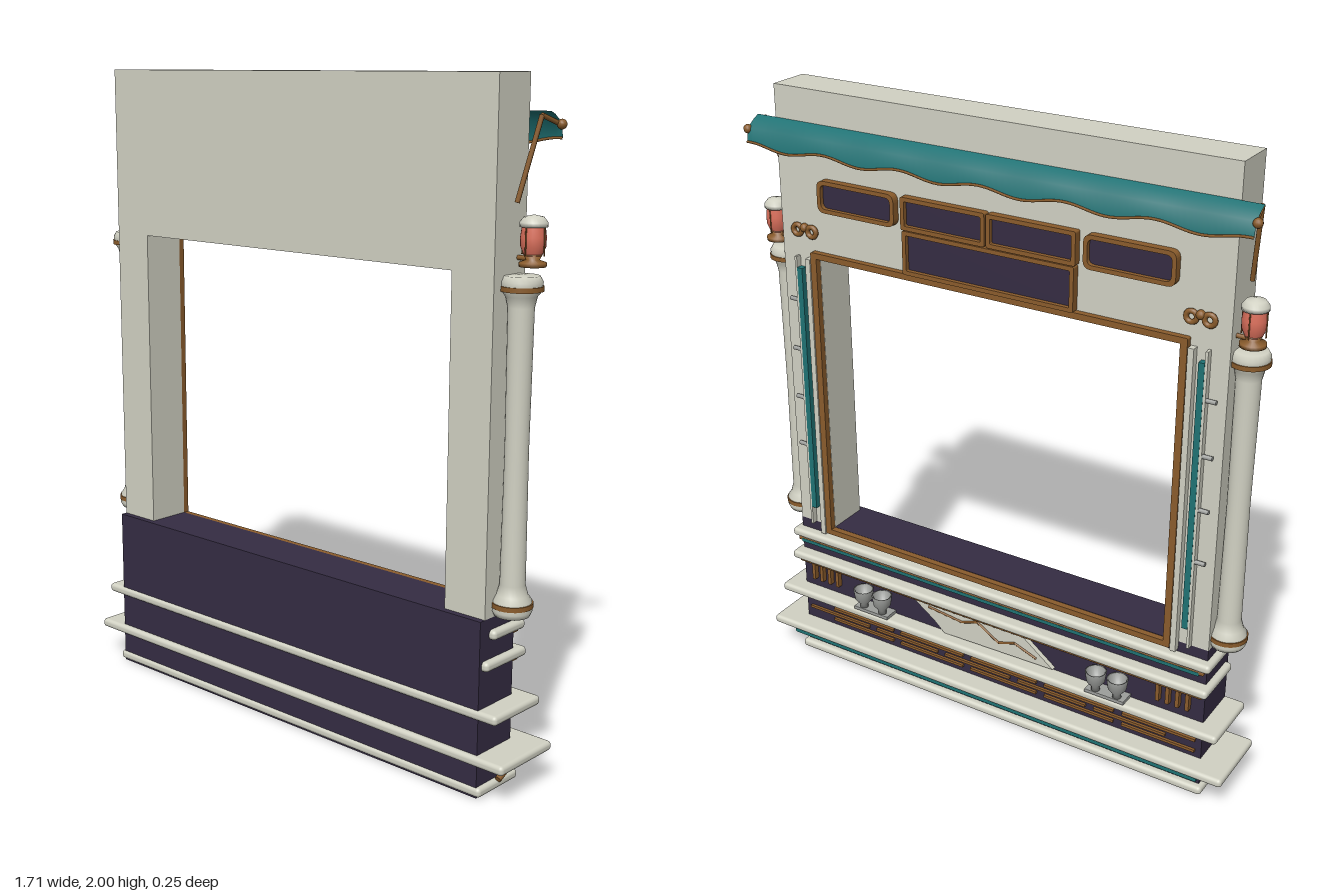
import * as THREE from 'three';
import { RoundedBoxGeometry } from 'three/addons/geometries/RoundedBoxGeometry.js';

const mat = (name, color, side = THREE.FrontSide) => {
  const m = new THREE.MeshStandardMaterial({ color, side });
  m.name = name;
  return m;
};

export function createModel() {
  const cream = mat('cream', 0xd1d1c3);
  const plum = mat('plum', 0x352c43);
  const teal = mat('teal', 0x1f7274, THREE.DoubleSide);
  const bronze = mat('bronze', 0x8a5c2c);
  const coral = mat('coral', 0xdc705c);
  const grey = mat('grey', 0x9c9e9b, THREE.DoubleSide);

  const root = new THREE.Group();
  root.name = 'serviceWindow';
  const BACK = -0.053;

  const add = (name, geo, m, x = 0, y = 0, z = 0, parent = root) => {
    const mesh = new THREE.Mesh(geo, m);
    mesh.name = name;
    mesh.position.set(x, y, z);
    parent.add(mesh);
    return mesh;
  };
  // box given by its min and max limits
  const box = (name, m, x0, x1, y0, y1, z0, z1, r = 0) => {
    const s = [x1 - x0, y1 - y0, z1 - z0];
    const geo = r ? new RoundedBoxGeometry(...s, 3, r) : new THREE.BoxGeometry(...s);
    return add(name, geo, m, (x0 + x1) / 2, (y0 + y1) / 2, (z0 + z1) / 2);
  };
  const sideBox = (name, m, s, x0, x1, ...rest) =>
    box(name, m, Math.min(s * x0, s * x1), Math.max(s * x0, s * x1), ...rest);
  // rod between two points
  const rod = (name, m, a, b, r) => {
    const p = new THREE.Vector3(...a), q = new THREE.Vector3(...b);
    const mesh = add(name, new THREE.CylinderGeometry(r, r, p.distanceTo(q), 8), m);
    mesh.position.lerpVectors(p, q, 0.5);
    mesh.quaternion.setFromUnitVectors(new THREE.Vector3(0, 1, 0), q.sub(p).normalize());
    return mesh;
  };
  const lathe = (pts) => new THREE.LatheGeometry(pts.map(p => new THREE.Vector2(...p)), 24);
  const roundRect = (Type, w, h, r) => {
    const s = new Type(), x = w / 2, y = h / 2;
    s.moveTo(-x + r, -y).lineTo(x - r, -y).quadraticCurveTo(x, -y, x, -y + r);
    s.lineTo(x, y - r).quadraticCurveTo(x, y, x - r, y);
    s.lineTo(-x + r, y).quadraticCurveTo(-x, y, -x, y - r);
    s.lineTo(-x, -y + r).quadraticCurveTo(-x, -y, -x + r, -y);
    return s;
  };
  const extrude = (s, depth) => new THREE.ExtrudeGeometry(s, { depth, bevelEnabled: false, curveSegments: 6 });

  // main walls around the opening
  box('upperWall', cream, -0.755, 0.755, 1.48, 2, BACK, 0.085);
  box('counter', plum, -0.755, 0.755, 0, 0.525, BACK, 0.105);

  // counter mouldings: y, half width, back z, front z
  for (const [y, w, z0, z1] of [
    [0.475, 0.775, -0.085, 0.063], [0.39, 0.775, -0.095, 0.095], [0.25, 0.82, -0.105, 0.113],
    [0.115, 0.853, -0.122, 0.122], [0.018, 0.77, -0.075, 0.112],
  ]) {
    box('moulding', cream, -w, w, y - 0.014, y + 0.015, z0, z1, 0.012);
    if (y > 0.2) box('mouldingTrim', bronze, -0.755, 0.755, y - 0.027, y - 0.013, BACK - 0.026, BACK, 0.004);
  }
  box('lowerLightStrip', teal, -0.768, 0.768, 0.086, 0.102, -0.112, -0.097);
  box('upperLightStrip', teal, -0.74, 0.74, 0.445, 0.457, -0.08, -0.068);

  // frame of the opening
  const frame = roundRect(THREE.Shape, 1.275, 0.995, 0.005);
  frame.holes.push(roundRect(THREE.Path, 1.232, 0.957, 0.002));
  add('openingFrame', extrude(frame, 0.022), bronze, 0, 1.0025, BACK - 0.02);

  // framed sign panels: x, y, width, height, corner radius
  for (const [x, y, w, h, r] of [
    [0.455, 1.687, 0.28, 0.1, 0.025], [-0.455, 1.687, 0.28, 0.1, 0.025],
    [0.147, 1.687, 0.288, 0.1, 0.006], [-0.147, 1.687, 0.288, 0.1, 0.006],
    [0, 1.567, 0.575, 0.135, 0.006],
  ]) {
    const s = roundRect(THREE.Shape, w, h, r);
    s.holes.push(roundRect(THREE.Path, w - 0.026, h - 0.026, r * 0.7));
    add('signFrame', extrude(s, 0.026), bronze, x, y, BACK - 0.025);
    add('signFace', extrude(roundRect(THREE.Shape, w - 0.02, h - 0.02, r * 0.7), 0.012), plum, x, y, BACK - 0.011);
  }

  for (const s of [-1, 1]) {
    // pier with raised edges, light strip and pegs
    sideBox('pier', cream, s, 0.615, 0.755, 0.525, 1.48, BACK, 0.085);
    sideBox('pierEdge', cream, s, 0.64, 0.658, 0.5, 1.475, BACK - 0.022, BACK);
    sideBox('pierOuterEdge', cream, s, 0.692, 0.7, 0.525, 1.475, BACK - 0.02, BACK);
    sideBox('pierLight', teal, s, 0.673, 0.692, 0.59, 1.44, BACK - 0.021, BACK);
    for (const y of [0.82, 0.99, 1.16, 1.33])
      rod('peg', grey, [s * 0.69, y, BACK - 0.013], [s * 0.73, y, BACK - 0.013], 0.007);

    // round column with base, capital and bands
    add('column', lathe([[0, 0.53], [0.05, 0.53], [0.057, 0.545], [0.055, 0.575], [0.044, 0.59], [0.036, 0.62],
      [0.033, 1.0], [0.036, 1.39], [0.043, 1.42], [0.055, 1.435], [0.057, 1.46], [0.048, 1.475], [0, 1.475]]),
    cream, s * 0.788, 0, 0.006);
    for (const y of [0.562, 1.441])
      add('columnBand', new THREE.CylinderGeometry(0.059, 0.059, 0.014, 24), bronze, s * 0.788, y, 0.006);

    // lantern on its bracket
    const lamp = new THREE.Group();
    lamp.name = 'lantern';
    lamp.position.set(s * 0.802, 0, -0.02);
    root.add(lamp);
    add('lanternBase', lathe([[0, 1.495], [0.037, 1.497], [0.037, 1.508], [0.018, 1.515], [0.026, 1.53], [0, 1.532]]), bronze, 0, 0, 0, lamp);
    add('lanternGlass', lathe([[0.024, 1.526], [0.034, 1.55], [0.035, 1.575], [0.031, 1.604]]), coral, 0, 0, 0, lamp);
    add('lanternCap', lathe([[0, 1.6], [0.038, 1.602], [0.038, 1.614], [0.027, 1.628], [0, 1.634]]), cream, 0, 0, 0, lamp);
    for (let i = 0; i < 4; i++) {
      const a = i * Math.PI / 2;
      add('lanternRib', new THREE.CylinderGeometry(0.002, 0.002, 0.08, 6), bronze, 0.035 * Math.cos(a), 1.567, 0.035 * Math.sin(a), lamp);
    }
    rod('lanternBracket', bronze, [s * 0.74, 1.517, -0.02], [s * 0.802, 1.517, -0.02], 0.007);

    // scroll ornament on the upper wall
    for (const dx of [-0.027, 0.027])
      add('scroll', new THREE.TorusGeometry(0.016, 0.008, 8, 16), bronze, s * 0.665 + dx, 1.56, BACK - 0.006);
    add('scrollCentre', new THREE.SphereGeometry(0.014, 12, 8), bronze, s * 0.665, 1.57, BACK - 0.006);

    // awning arm and foot brace
    rod('awningStrut', bronze, [s * 0.772, 1.665, 0.016], [s * 0.805, 1.89, -0.037], 0.007);
    rod('awningArm', bronze, [s * 0.805, 1.89, -0.037], [s * 0.815, 1.867, -0.1], 0.007);
    add('awningKnob', new THREE.SphereGeometry(0.014, 12, 8), bronze, s * 0.823, 1.865, -0.103);
    rod('footBrace', bronze, [s * 0.772, 0.035, 0.025], [s * 0.772, 0.092, -0.09], 0.01);

    // pairs of grey cups on a small shelf, with a rack of bars beside them
    for (const x of [0.405, 0.48]) {
      add('cup', lathe([[0, 0.275], [0.014, 0.277], [0.013, 0.29], [0.029, 0.31], [0.034, 0.345], [0.029, 0.344], [0.022, 0.314], [0, 0.308]]),
        grey, s * x, 0, -0.089);
    }
    sideBox('cupShelf', grey, s, 0.375, 0.51, 0.266, 0.277, -0.105, BACK);
    for (let i = 0; i < 4; i++)
      sideBox('rackBar', bronze, s, 0.6 + i * 0.033, 0.612 + i * 0.033, 0.3, 0.37, BACK - 0.018, BACK);
  }

  // slanted banner with a zigzag line
  const banner = new THREE.Shape([[0.31, 0.376], [0.2, 0.368], [-0.1, 0.385], [-0.14, 0.352], [-0.24, 0.275], [0.17, 0.268], [0.21, 0.305]]
    .map(p => new THREE.Vector2(...p)));
  add('banner', extrude(banner, 0.016), cream, 0, 0, BACK - 0.016);
  const zig = [[0.23, 0.35], [0.1, 0.335], [0.04, 0.355], [-0.04, 0.305], [-0.1, 0.325], [-0.18, 0.295]];
  for (let i = 0; i < zig.length - 1; i++)
    rod('bannerLine', bronze, [...zig[i], BACK - 0.016], [...zig[i + 1], BACK - 0.016], 0.004);

  // staggered thin slats on the lower counter
  for (let row = 0; row < 4; row++)
    for (let i = 0; i < 5; i++) {
      const x = -0.56 + i * 0.28 + (row % 2 ? 0.05 : -0.05), y = 0.15 + row * 0.02;
      box('slat', bronze, x - 0.125, x + 0.125, y, y + 0.009, BACK - 0.009, BACK);
    }

  // awning: sloping cloth with a scalloped valance
  const scallop = x => 0.009 * Math.cos(x * Math.PI * 2 / 0.27);
  const section = [[1.9, -0.056], [1.892, -0.075], [1.87, -0.106], [1.82, -0.114]];
  const cloth = new THREE.PlaneGeometry(1.64, 1, 84, 3);
  const pos = cloth.attributes.position;
  for (let i = 0; i < pos.count; i++) {
    const row = Math.floor(i / 85), [y, z] = section[row];
    pos.setY(i, y + (row === 3 ? scallop(pos.getX(i)) : 0));
    pos.setZ(i, z);
  }
  cloth.computeVertexNormals();
  add('awningCloth', cloth, teal);
  const hem = [];
  for (let i = 0; i <= 56; i++) {
    const x = -0.82 + i * 1.64 / 56;
    hem.push(new THREE.Vector3(x, 1.82 + scallop(x), -0.114));
  }
  add('awningHem', new THREE.TubeGeometry(new THREE.CatmullRomCurve3(hem), 112, 0.004, 6), bronze);

  return root;
}
